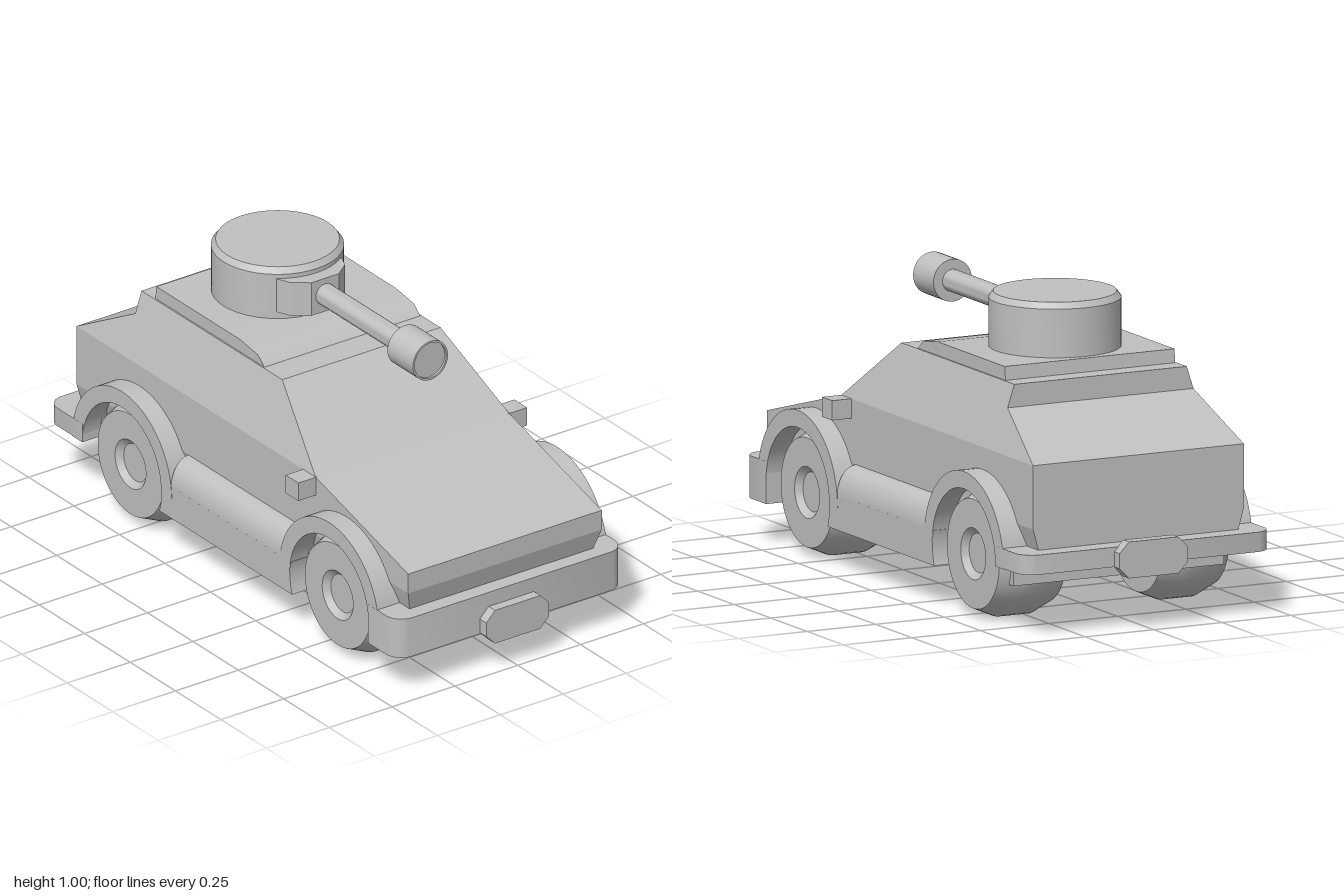
import * as THREE from 'three';
import { toCreasedNormals } from 'three/addons/utils/BufferGeometryUtils.js';

const paint = new THREE.MeshStandardMaterial({ color: 0xc0c0c0 });
paint.name = 'plain grey';

export function createModel() {
  const model = new THREE.Group();
  model.name = 'armouredCar';

  const add = (name, geo) => {
    const mesh = new THREE.Mesh(geo, paint);
    mesh.name = name;
    model.add(mesh);
    return mesh;
  };
  const poly = (pts) => new THREE.Shape(pts.map(([a, b]) => new THREE.Vector2(a, b)));
  const extrude = (shape, depth) =>
    new THREE.ExtrudeGeometry(shape, { depth, bevelEnabled: false, curveSegments: 20 });
  const crease = (geo) => toCreasedNormals(geo, 0.6);
  // Side profile drawn in (z, y), running from x0 to x1
  const alongX = (shape, x0, x1) =>
    crease(extrude(shape, x1 - x0).rotateY(-Math.PI / 2).translate(x1, 0, 0));
  const lathe = (pts, segments = 40) =>
    crease(new THREE.LatheGeometry(pts.map(([r, y]) => new THREE.Vector2(r, y)), segments));
  const box = (name, x0, x1, y0, y1, z0, z1) =>
    add(name, new THREE.BoxGeometry(x1 - x0, y1 - y0, z1 - z0)
      .translate((x0 + x1) / 2, (y0 + y1) / 2, (z0 + z1) / 2));

  // Hull layers: a side profile whose half width changes with height
  const slab = (name, pts, y0, w0, y1, w1) => {
    const geo = extrude(poly(pts), 2).rotateY(-Math.PI / 2).translate(1, 0, 0);
    const p = geo.attributes.position;
    for (let i = 0; i < p.count; i++) {
      const t = (p.getY(i) - y0) / (y1 - y0);
      p.setX(i, Math.sign(p.getX(i)) * (w0 + (w1 - w0) * t));
    }
    geo.computeVertexNormals();
    add(name, geo);
  };
  slab('lowerHull', [[-0.895, 0.28], [0.91, 0.28], [0.93, 0.35], [-0.895, 0.35]],
    0.28, 0.365, 0.35, 0.385);
  slab('middleHull', [[-0.895, 0.35], [0.93, 0.35], [0.93, 0.42], [0.42, 0.56], [-0.895, 0.56]],
    0.35, 0.385, 0.56, 0.385);
  slab('cabin', [[-0.895, 0.56], [0.42, 0.56], [0.14, 0.775], [-0.635, 0.775], [-0.635, 0.7]],
    0.56, 0.385, 0.775, 0.315);
  add('roofPlate', alongX(poly([[-0.565, 0.775], [0.035, 0.775], [0, 0.805], [-0.1, 0.82],
    [-0.56, 0.82]]), -0.31, 0.31));
  box('floor', -0.385, 0.385, 0.14, 0.285, -0.76, 0.85);

  // Bumpers with rounded outer corners, drawn in plan
  const bumper = (name, inner, outer, y0, y1) => {
    const w = 0.455, r = 0.055;
    const s = new THREE.Shape();
    s.moveTo(-w, inner);
    s.lineTo(w, inner);
    s.lineTo(w, outer - r);
    s.quadraticCurveTo(w - 0.008, outer - 0.008, w - r, outer);
    s.lineTo(-w + r, outer);
    s.quadraticCurveTo(-w + 0.008, outer - 0.008, -w, outer - r);
    return add(name, crease(extrude(s, y1 - y0).rotateX(Math.PI / 2).translate(0, y1, 0)));
  };
  bumper('frontBumper', 0.805, 0.965, 0.14, 0.28);
  bumper('rearBumper', 0.765, 0.965, 0.215, 0.28).rotation.y = Math.PI;

  // Octagonal plates on the bumpers
  const plate = poly([[-0.125, -0.025], [-0.09, -0.06], [0.09, -0.06], [0.125, -0.025],
    [0.125, 0.025], [0.09, 0.06], [-0.09, 0.06], [-0.125, 0.025]]);
  add('frontPlate', extrude(plate, 0.04).translate(0, 0.169, 0.96));
  add('rearPlate', extrude(plate, 0.04).translate(0, 0.24, -1));

  // Wheels, wheel arches, side skirts and mirrors on both sides
  const axles = { front: 0.59, rear: -0.55 };
  const axleY = 0.213;
  const tyre = [[0, 0.175], [0.18, 0.175], [0.21, 0.245], [0.21, 0.35], [0.18, 0.42],
    [0.085, 0.42], [0.065, 0.4], [0, 0.4]];
  for (const side of [1, -1]) {
    const label = side > 0 ? 'left' : 'right';
    const span = (a, b) => (side > 0 ? [a, b] : [-b, -a]);

    for (const [end, z] of Object.entries(axles)) {
      add(`${label}${end}Wheel`, lathe(tyre, 48).rotateZ(-side * Math.PI / 2).translate(0, axleY, z));
      const arch = new THREE.Shape();
      arch.absarc(z, axleY, 0.274, 0, Math.PI, false);
      arch.absarc(z, axleY, 0.217, Math.PI, 0, true);
      add(`${label}${end}Arch`, alongX(arch, ...span(0.34, 0.4545)));
    }

    // Lower skirt, its ends following the wheel openings
    const skirt = new THREE.Shape();
    skirt.moveTo(-0.345, 0.14);
    skirt.lineTo(0.386, 0.14);
    skirt.quadraticCurveTo(0.365, 0.2, 0.38, 0.255);
    skirt.lineTo(-0.34, 0.255);
    skirt.quadraticCurveTo(-0.325, 0.2, -0.345, 0.14);
    add(`${label}Skirt`, alongX(skirt, ...span(0.34, 0.4535)));

    // Rounded top of the skirt, drawn in (x, y)
    const top = new THREE.Shape();
    top.moveTo(0.34, 0.25);
    top.lineTo(0.4535, 0.25);
    top.bezierCurveTo(0.4535, 0.3, 0.43, 0.347, 0.385, 0.349);
    top.lineTo(0.34, 0.349);
    const roll = extrude(top, 0.6).translate(0, 0, -0.28);
    if (side < 0) roll.rotateY(Math.PI).translate(0, 0, 0.04);
    add(`${label}SkirtTop`, crease(roll));

    box(`${label}Mirror`, ...span(0.38, 0.455), 0.495, 0.56, 0.352, 0.422);
  }

  // Turret with a bevelled rim
  add('turret', lathe([[0, 0.8], [0.215, 0.8], [0.215, 0.98], [0.2, 1], [0, 1]], 40)
    .translate(0, 0, -0.322));

  // Gun mount, drawn in plan
  const mount = poly([[-0.13, -0.2], [0.13, -0.2], [0.128, -0.145], [0.108, -0.1], [0.055, -0.06],
    [-0.055, -0.06], [-0.108, -0.1], [-0.128, -0.145]]);
  add('gunMount', extrude(mount, 0.12).rotateX(Math.PI / 2).translate(0, 0.965, 0));

  // Gun barrel and muzzle
  add('barrel', lathe([[0, -0.1], [0.037, -0.1], [0.037, 0.39], [0, 0.39]], 24)
    .rotateX(Math.PI / 2).translate(0, 0.908, 0));
  add('muzzle', lathe([[0, 0.38], [0.07, 0.38], [0.07, 0.52], [0.063, 0.52], [0.063, 0.512],
    [0, 0.512]], 32).rotateX(Math.PI / 2).translate(0, 0.908, 0));

  return model;
}
